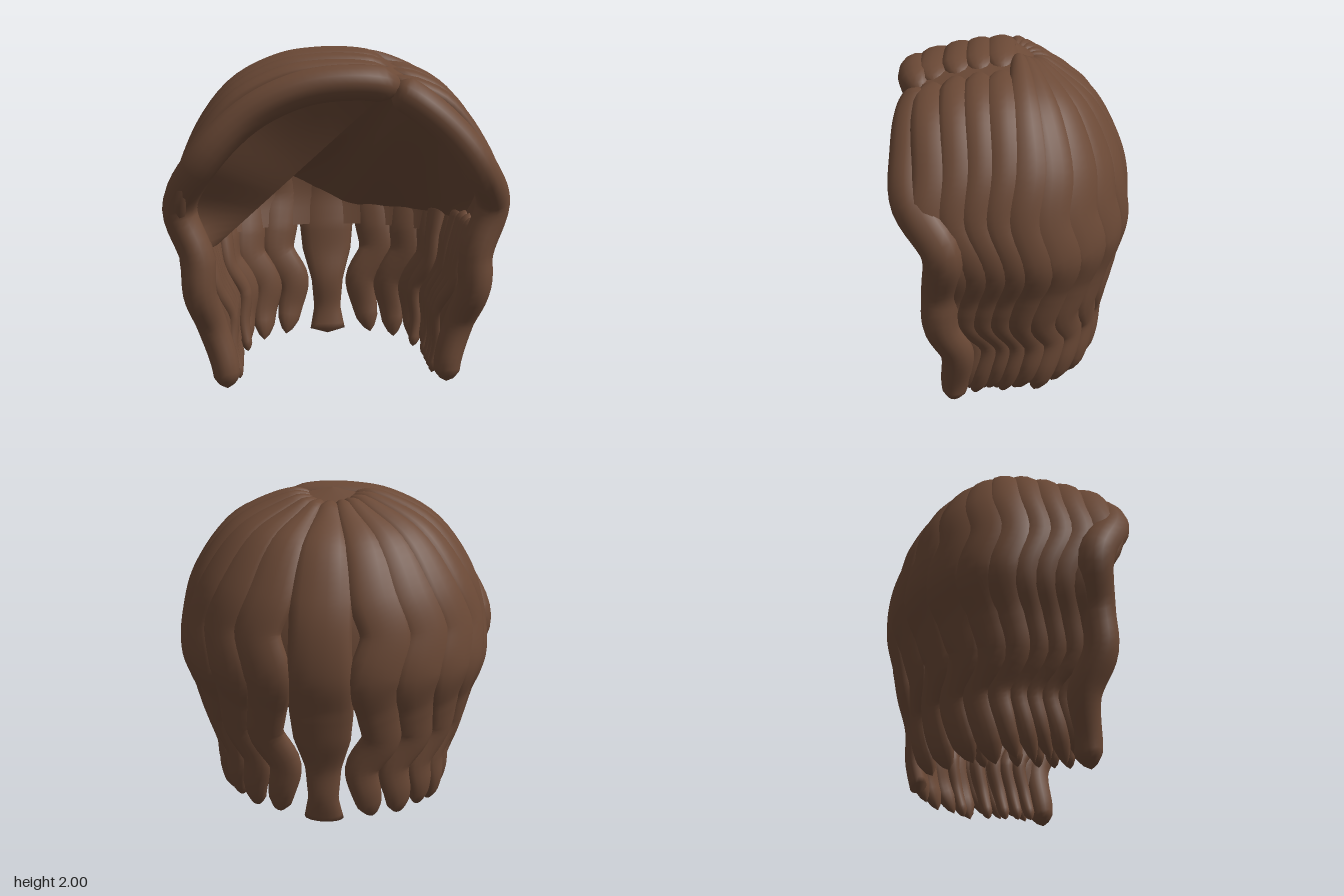
import * as THREE from 'three';

const hair = new THREE.MeshStandardMaterial({ color: 0x6b4936, side: THREE.DoubleSide });
hair.name = 'brown hair';

// Lock profile from crown to tip: [reach, height, width factor, depth factor]
const PROFILE = [
  [0.12, 1.935, 0.3, 1], [0.35, 1.9, 0.55, 1], [0.64, 1.765, 0.85, 1], [0.865, 1.5, 1, 1],
  [0.96, 1.25, 1, 0.97], [0.98, 1.0, 1, 0.86], [0.9, 0.78, 0.85, 0.82], [0.85, 0.6, 0.78, 0.78],
  [0.77, 0.4, 0.68, 0.68], [0.76, 0.2, 0.58, 0.68], [0.7, 0.02, 0.4, 0.68],
];
const HALF_X = 0.9, HALF_Z = 0.64;

// q > 0: lock lies in front at depth q; q <= 0: lock turned -q degrees towards the back
function place(q, side, [reach, y, , depth], wave = 0, scale = 1) {
  const a = THREE.MathUtils.degToRad(Math.max(0, -q));
  const front = Math.max(q, 0);
  const high = THREE.MathUtils.clamp((y - 1.2) / 0.4, 0, 1);
  // the crown slopes down towards the face and the back
  const drop = high * (0.1 * (front / 0.55) ** 2 + 0.09 * Math.sin(a) * Math.min(1, Math.abs(reach) / 0.3));
  const w = wave * THREE.MathUtils.clamp((1.6 - y) / 0.6, 0, 1) * Math.cos((2 * Math.PI * (y - 0.65)) / 0.6);
  return new THREE.Vector3(
    side * (reach * HALF_X * scale * Math.cos(a) + w * Math.sin(a)),
    y - drop,
    front * depth - reach * HALF_Z * scale * Math.sin(a) + w * Math.cos(a));
}

function surface(pos, idx) {
  const g = new THREE.BufferGeometry();
  g.setAttribute('position', new THREE.Float32BufferAttribute(pos, 3));
  g.setIndex(idx);
  g.computeVertexNormals();
  return g;
}

// Grid surface from rows of points
function grid(rows) {
  const n = rows[0].length, pos = [], idx = [];
  rows.forEach(r => r.forEach(p => pos.push(p.x, p.y, p.z)));
  for (let i = 0; i < rows.length - 1; i++)
    for (let j = 0; j < n - 1; j++) {
      const k = i * n + j;
      idx.push(k, k + 1, k + n, k + 1, k + n + 1, k + n);
    }
  return surface(pos, idx);
}

// Elliptical section swept along a curve, its flat side facing away from the head
function sweep(curve, widths, halfW, halfT, blunt = false) {
  const SEG = 56, SIDES = 14, pos = [], idx = [];
  for (let i = 0; i <= SEG; i++) {
    const t = i / SEG, p = curve.getPoint(t), T = curve.getTangent(t);
    const N = new THREE.Vector3(p.x / 0.81, Math.max(0, p.y - 1) * 1.2, Math.min(0, p.z) / 0.41);
    N.addScaledVector(T, -N.dot(T)).normalize();
    const B = new THREE.Vector3().crossVectors(T, N);
    const f = t * (widths.length - 1), k = Math.min(Math.floor(f), widths.length - 2);
    const end = Math.min(1, Math.sqrt(t / 0.05), Math.sqrt((1 - t) / (blunt ? 0.01 : 0.055)));
    const w = THREE.MathUtils.lerp(widths[k], widths[k + 1], f - k) * halfW * end;
    const h = halfT * end * (t > 0.6 ? 1.05 - (t - 0.6) * 0.7 : 1);
    for (let j = 0; j < SIDES; j++) {
      const a = (j / SIDES) * Math.PI * 2;
      const v = p.clone().addScaledVector(B, Math.cos(a) * w).addScaledVector(N, Math.sin(a) * h);
      pos.push(v.x, v.y, v.z);
      if (i < SEG) {
        const c = i * SIDES + j, d = i * SIDES + ((j + 1) % SIDES);
        idx.push(c, d, c + SIDES, d, d + SIDES, c + SIDES);
      }
    }
  }
  return surface(pos, idx);
}

export function createModel() {
  const wig = new THREE.Group();
  wig.name = 'wig';
  const add = (name, geometry) => {
    const m = new THREE.Mesh(geometry, hair);
    m.name = name;
    wig.add(m);
  };

  // Cap between the locks: level with them at the crown, lining them at the hem
  const capRows = [];
  const capProfile = [[0, 1.945, 0, 1], ...PROFILE.slice(0, 7)];
  const capLine = (q, side) => capRows.push(new THREE.CatmullRomCurve3(capProfile.map(row => {
    const p = place(q, side, row, 0, row[0] > 0.8 ? 0.93 : 0.97);
    p.y += 0.03 * (1 - row[0]);
    return p;
  })).getPoints(28));
  for (let i = 0; i < 6; i++) capLine(0.52 * (1 - i / 6), 1);
  for (let i = 0; i <= 18; i++) capLine(-i * 5, 1);
  for (let i = 17; i >= 0; i--) capLine(-i * 5, -1);
  for (let i = 1; i <= 6; i++) capLine((0.52 * i) / 6, -1);
  add('cap', grid(capRows));

  // Wavy locks: [position, half width, tip lift]
  const locks = [
    [0.45, 0.115, 0.02], [0.32, 0.105, 0], [0.2, 0.1, 0.03], [0.08, 0.1, 0.01],
    [-5, 0.115, 0.03], [-18, 0.135, 0], [-33, 0.15, 0.02], [-50, 0.155, 0.01], [-67, 0.155, 0.02],
  ];
  for (const side of [1, -1]) {
    for (const [q, halfW, lift] of locks) {
      let rows = PROFILE.map(([r, y, w, d]) => [r, y + (y < 0.3 ? lift : 0), q > 0 && y > 1 ? 1 : w, d]);
      // front locks start at the off-centre parting
      if (q > 0) rows = side > 0
        ? [[0.28, 1.9, 1, 1], ...rows.slice(2)]
        : [[-0.35, 1.9, 0.9, 1], [-0.12, 1.935, 1, 1], ...rows];
      const curve = new THREE.CatmullRomCurve3(rows.map(r => place(q, side, r, 0.05)));
      add('lock', sweep(curve, rows.map(r => r[2]), halfW, 0.06));
    }
    // Thinner locks underneath at the sides
    for (const q of [0.38, 0.26, 0.14, -2, -25]) {
      const rows = PROFILE.slice(5);
      const curve = new THREE.CatmullRomCurve3(rows.map(r => place(q, side, r, 0.04, 0.93)));
      add('underLock', sweep(curve, rows.map(r => r[2]), 0.08, 0.045));
    }
  }

  // Broad blunt lock at the centre of the back
  const backWidths = [0.3, 0.55, 0.85, 1, 1, 1.05, 1.05, 0.95, 0.62, 0.52, 0.72];
  add('backLock', sweep(
    new THREE.CatmullRomCurve3(PROFILE.map(r => place(-90, 1, r))), backWidths, 0.175, 0.06, true));

  // Thick rolls framing the face
  const roll = pts => new THREE.CatmullRomCurve3(pts.map(p => new THREE.Vector3(...p)));
  const fall = side => [[0.9, 1.1, 0.4], [0.81, 0.82, 0.42], [0.8, 0.6, 0.43], [0.74, 0.38, 0.35],
    [0.67, 0.14, 0.37], [0.66, 0, 0.39]].map(([x, y, z]) => [x * side, y, z]);
  const rightRoll = roll([[0.34, 1.78, 0.52], [0.1, 1.81, 0.565], [-0.2, 1.78, 0.575], [-0.5, 1.64, 0.56],
    [-0.76, 1.38, 0.54], ...fall(-1)]);
  const leftRoll = roll([[0.29, 1.78, 0.5], [0.42, 1.7, 0.55], [0.6, 1.55, 0.56], [0.78, 1.33, 0.55], ...fall(1)]);
  add('rightRoll', sweep(rightRoll, [0.9, 1, 1, 1, 1, 1, 0.95, 0.9, 0.85, 0.75, 0.55], 0.11, 0.098));
  add('leftRoll', sweep(leftRoll, [0.9, 1, 1.05, 1.05, 1, 0.95, 0.9, 0.85, 0.75, 0.55], 0.115, 0.098));

  // Underside of the swept fringe, ending in a straight inner edge
  const outer = [], middle = [], inner = [];
  for (let i = 0; i <= 24; i++) {
    const t = i / 24, a = rightRoll.getPoint(0.04 + t * 0.56);
    const b = new THREE.Vector3(0.22 - 0.92 * t, 1.7 - 0.85 * t, 0.38 - 0.13 * t);
    outer.push(a);
    middle.push(a.clone().lerp(b, 0.5));
    inner.push(b);
  }
  add('fringeUnderside', grid([outer, middle, inner]));

  // Sloping inner lining from the fringe and left roll down to the back
  const liningFront = [...inner].reverse(), liningBack = [];
  for (let i = 1; i <= 24; i++) liningFront.push(leftRoll.getPoint(0.02 + (i / 24) * 0.4));
  liningFront.forEach((p, i) => {
    const u = i / (liningFront.length - 1), a = Math.PI * (1 - u);
    const rise = 0.25 * (1 - THREE.MathUtils.smoothstep(u, 0.35, 0.6));
    liningBack.push(new THREE.Vector3(0.8 * Math.cos(a), 0.9 + rise, -0.58 * Math.sin(a)));
  });
  const liningRows = [];
  for (let k = 0; k <= 8; k++) liningRows.push(liningFront.map((p, i) => p.clone().lerp(liningBack[i], k / 8)));
  add('innerLining', grid(liningRows));

  return wig;
}
